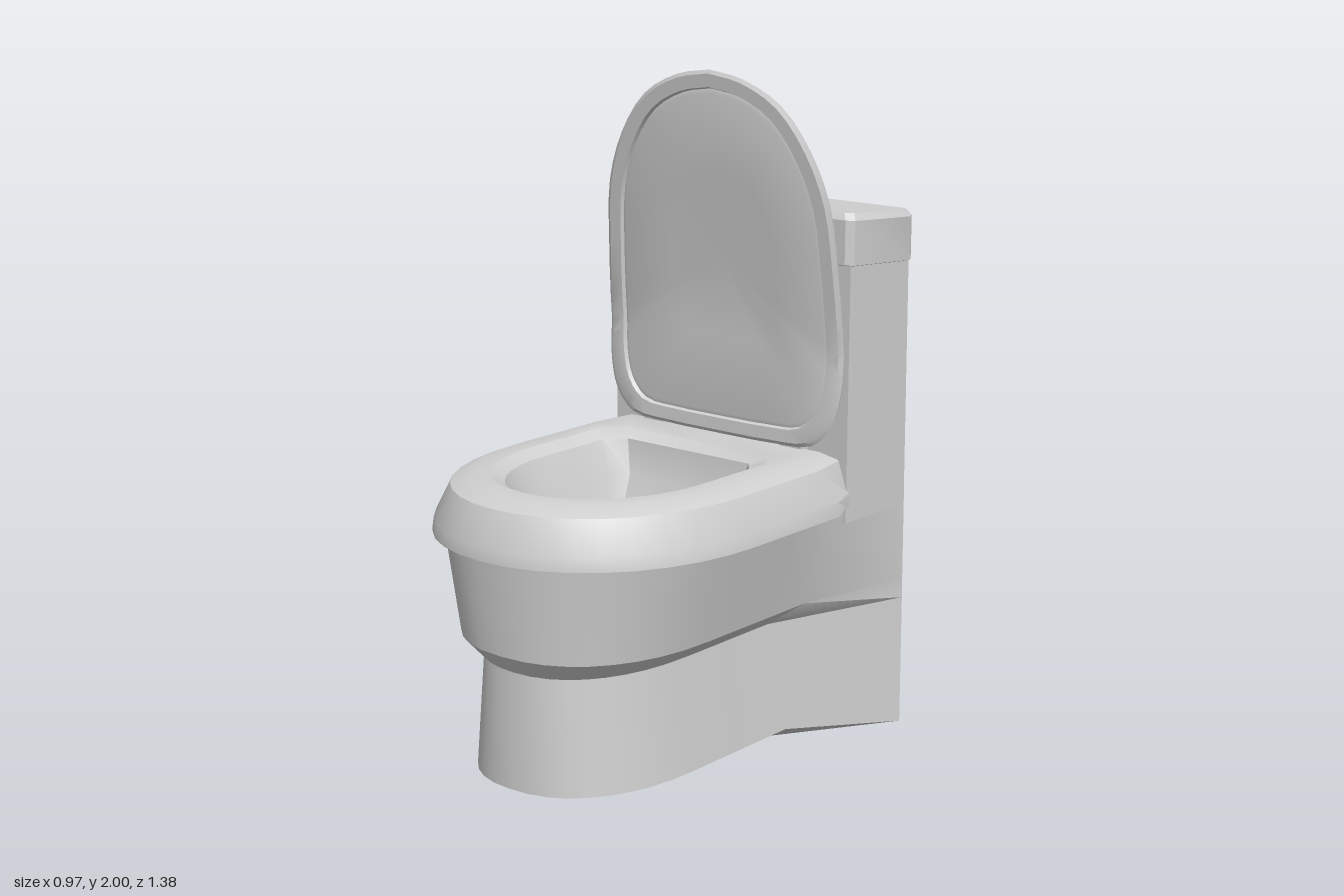
import * as THREE from 'three';
import { toCreasedNormals } from 'three/addons/utils/BufferGeometryUtils.js';

const porcelain = new THREE.MeshStandardMaterial({ color: 0xd0d0d0 });
porcelain.name = 'porcelain';
const water = new THREE.MeshStandardMaterial({ color: 0x978e86 });
water.name = 'water';

const V = (x, y, z) => new THREE.Vector3(x, y, z);

// Mirror a half outline across x = 0 (first and last points lie on the axis)
function mirrorRing(half) {
  const other = half.slice(1, -1).reverse().map((p) => V(-p.x, p.y, p.z));
  return [...half, ...other];
}

// Horizontal U-shaped ring: narrow or wide back, straight sides, curved front
function outline(y, { w, wb, zb, zk, zs, zf, p = 2.1 }) {
  const half = [V(0, y, zb), V(wb, y, zb), V(w, y, zk), V(w, y, (zk + zs) / 2)];
  const n = 9;
  for (let i = 0; i <= n; i++) {
    const a = (i / n) * Math.PI / 2;
    const x = i === n ? 0 : w * Math.pow(Math.cos(a), 2 / p);
    half.push(V(x, y, zs + (zf - zs) * Math.pow(Math.sin(a), 2 / p)));
  }
  return mirrorRing(half);
}

// Skin a stack of rings, with optional centre points that close the ends
function loft(rings, start, end, crease = 0.5) {
  const pos = [];
  const tri = (...ps) => ps.forEach((q) => pos.push(q.x, q.y, q.z));
  const n = rings[0].length;
  for (let j = 0; j < n; j++) {
    const k = (j + 1) % n;
    for (let i = 0; i + 1 < rings.length; i++) {
      const a = rings[i], b = rings[i + 1];
      tri(a[j], b[j], b[k]);
      tri(a[j], b[k], a[k]);
    }
    if (start) tri(start, rings[0][j], rings[0][k]);
    if (end) tri(end, rings[rings.length - 1][k], rings[rings.length - 1][j]);
  }
  const g = new THREE.BufferGeometry();
  g.setAttribute('position', new THREE.Float32BufferAttribute(pos, 3));
  return toCreasedNormals(g, crease);
}

export function createModel() {
  const group = new THREE.Group();
  const add = (name, geometry, material = porcelain) => {
    const m = new THREE.Mesh(geometry, material);
    m.name = name;
    group.add(m);
    return m;
  };

  // Pedestal and outer bowl, flaring back into the corners of the column
  const body = [
    [0.06, 0.31, -0.28, 0.59, -0.69],
    [0.40, 0.285, -0.22, 0.57, -0.687],
    [0.46, 0.36, -0.30, 0.62, -0.686],
    [0.75, 0.435, -0.38, 0.63, -0.683],
  ].map(([y, w, zk, zf, zb]) => outline(y, { w, wb: 0.44, zb, zk, zs: 0.15, zf, p: 2.3 }));
  body[0].forEach((q) => { if (q.z < -0.6) q.y = 0; });
  add('pedestalAndBowl', loft(body, V(0, 0.042, 0.2), null));

  // Rim rolling over into the inside of the bowl
  const rim = [
    [0.75, { w: 0.40, wb: 0.40, zb: -0.40, zk: -0.30, zs: 0.12, zf: 0.60 }],
    [0.75, { w: 0.485, wb: 0.44, zb: -0.40, zk: -0.29, zs: 0.1, zf: 0.69 }],
    [0.79, { w: 0.48, wb: 0.44, zb: -0.40, zk: -0.29, zs: 0.1, zf: 0.685 }],
    [0.885, { w: 0.435, wb: 0.41, zb: -0.39, zk: -0.25, zs: 0.1, zf: 0.637 }],
    [0.908, { w: 0.38, wb: 0.36, zb: -0.36, zk: -0.22, zs: 0.1, zf: 0.58 }],
    [0.908, { w: 0.32, wb: 0.27, zb: -0.23, zk: -0.16, zs: 0.12, zf: 0.52 }],
    [0.885, { w: 0.28, wb: 0.23, zb: -0.19, zk: -0.13, zs: 0.12, zf: 0.48 }],
    [0.78, { w: 0.235, wb: 0.21, zb: -0.175, zk: -0.11, zs: 0.14, zf: 0.435 }],
    [0.48, { w: 0.14, wb: 0.14, zb: 0.015, zk: 0.03, zs: 0.19, zf: 0.35 }],
  ].map(([y, o]) => outline(y, o));
  add('rimAndBasin', loft(rim));
  add('basinWater', loft([rim[8]], null, V(0, 0.48, 0.17)), water);

  // Upright column behind the bowl
  const column = [[0.7, -0.683], [1.47, -0.676]].map(([y, zb]) =>
    mirrorRing([V(0, y, zb), V(0.44, y, zb), V(0.44, y, -0.385), V(0, y, -0.385)]));
  add('tankColumn', loft(column, null, V(0, 1.47, -0.53)));

  // Tank cover with cut corners and a top sloping to the back
  const cover = [[1.465, 0.01], [1.468, 0], [1.597, 0], [1.617, 0.014]].map(([y, inset]) => {
    const x = 0.455 - inset, zb = -0.694 + inset, zf = -0.362 - inset;
    const half = [V(0, y, zb), V(x - 0.02, y, zb), V(x, y, zb + 0.035),
      V(x, y, zf - 0.02), V(x - 0.02, y, zf), V(0, y, zf)];
    half.forEach((q) => { q.y += 0.075 * (q.z + 0.362); });
    return mirrorRing(half);
  });
  add('tankCover', loft(cover, V(0, 1.452, -0.53), V(0, 1.604, -0.53), 0.6));

  // Flush button: collar and push piece, tilted with the cover
  const button = new THREE.Group();
  button.name = 'flushButton';
  [['buttonCollar', 0.062, 0.03, 0.005], ['buttonTop', 0.048, 0.05, 0.02]].forEach(([name, r, h, y]) => {
    const m = new THREE.Mesh(new THREE.CylinderGeometry(r * 0.96, r, h, 28), porcelain);
    m.name = name;
    m.position.y = y;
    button.add(m);
  });
  button.position.set(0, 1.602, -0.55);
  button.rotation.x = -0.075;
  group.add(button);

  // Raised seat lid: rounded outline leaning forward toward its top
  const lidCurve = new THREE.CatmullRomCurve3([
    [0, 2.0], [0.12, 1.98], [0.25, 1.915], [0.35, 1.79], [0.41, 1.64], [0.43, 1.45],
    [0.44, 1.2], [0.435, 1.08], [0.405, 0.985], [0.34, 0.925], [0.2, 0.912], [0, 0.91],
  ].map(([x, y]) => V(x, y, 0)));
  const lidHalf = lidCurve.getPoints(33);
  const lean = (y) => (y > 1.2 ? -0.352 + (y - 1.2) * 0.096 : -0.352 + (1.2 - y) * 0.06);
  const lidRing = (sx, sy, dz) => mirrorRing(lidHalf.map((q) => {
    const y = 1.44 + (q.y - 1.44) * sy;
    return V(q.x * sx, y, lean(y) + dz);
  }));
  const lid = [
    lidRing(0.5, 0.5, -0.028),
    lidRing(0.93, 0.95, -0.026),
    lidRing(0.99, 0.993, -0.018),
    lidRing(1, 1, -0.008),
    lidRing(0.97, 0.98, 0),
    lidRing(0.875, 0.91, 0),
    lidRing(0.865, 0.902, -0.012),
    lidRing(0.84, 0.88, -0.008),
    lidRing(0.45, 0.45, -0.014),
  ];
  add('seatLid', loft(lid, V(0, 1.44, lean(1.44) - 0.028), V(0, 1.44, lean(1.44) - 0.015), 0.55));

  // Hinges between lid and rim
  for (const s of [-1, 1]) {
    const hinge = add('lidHinge', new THREE.BoxGeometry(0.08, 0.06, 0.04));
    hinge.position.set(s * 0.26, 0.92, -0.368);
  }
  return group;
}
